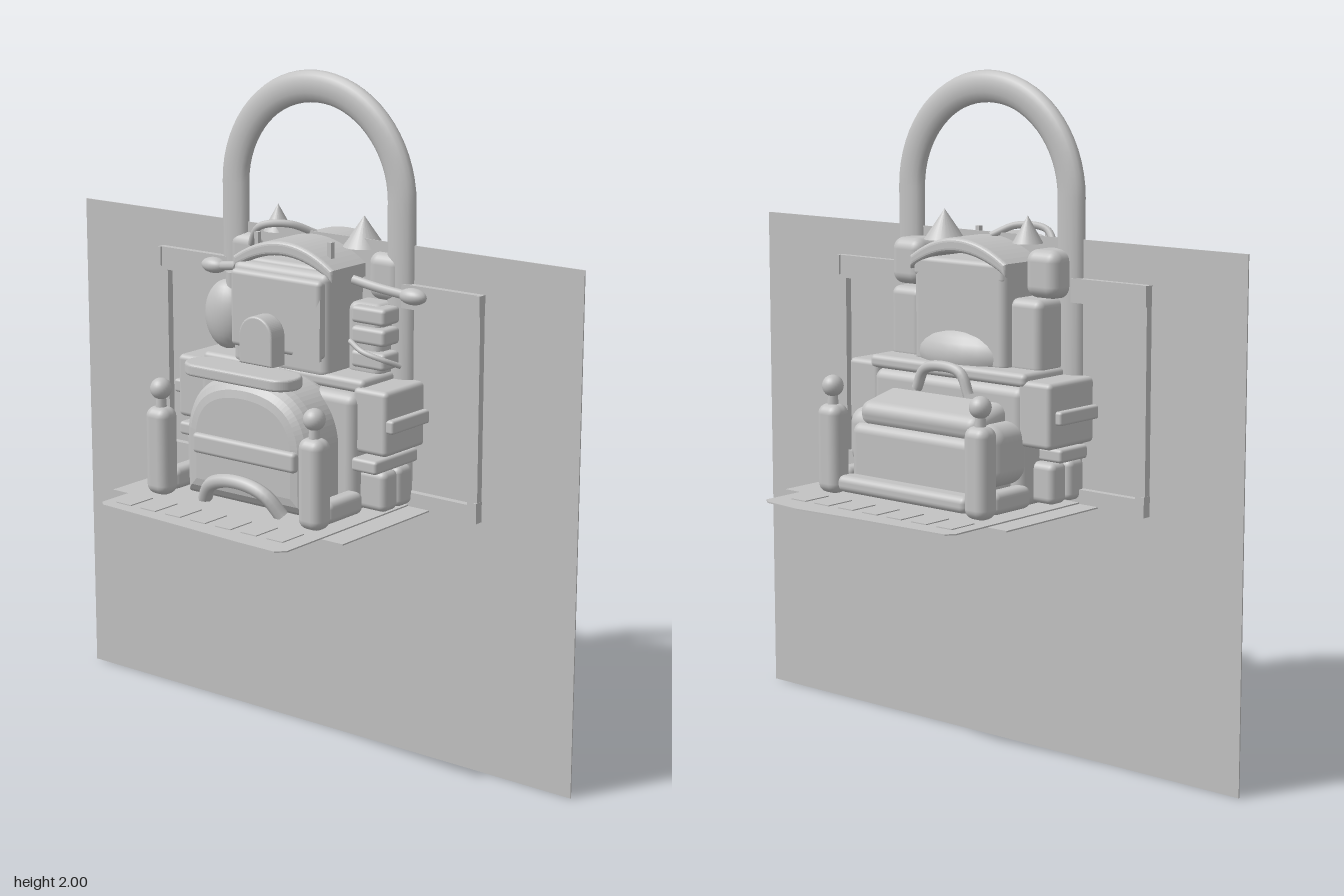
import * as THREE from 'three';
import { RoundedBoxGeometry } from 'three/addons/geometries/RoundedBoxGeometry.js';

export function createModel() {
  const root = new THREE.Group();
  root.name = 'equipmentPack';
  const grey = new THREE.MeshStandardMaterial({ color: 0xc2c2c2 });
  grey.name = 'plainGrey';

  const add = (name, geo, x = 0, y = 0, z = 0) => {
    const m = new THREE.Mesh(geo, grey);
    m.name = name;
    m.position.set(x, y, z);
    root.add(m);
    return m;
  };
  // boxes are given by their limits on each axis
  const box = (name, x0, x1, y0, y1, z0, z1, r = 0) => {
    const w = x1 - x0, h = y1 - y0, d = z1 - z0;
    const geo = r ? new RoundedBoxGeometry(w, h, d, 3, r) : new THREE.BoxGeometry(w, h, d);
    return add(name, geo, (x0 + x1) / 2, (y0 + y1) / 2, (z0 + z1) / 2);
  };
  const ball = (name, x, y, z, rx, ry = rx, rz = rx) => {
    const m = add(name, new THREE.SphereGeometry(1, 24, 16), x, y, z);
    m.scale.set(rx, ry, rz);
    return m;
  };
  const tube = (name, pts, r) => add(name, new THREE.TubeGeometry(
    new THREE.CatmullRomCurve3(pts.map(p => new THREE.Vector3(...p))), 24, r, 8));
  const extrude = (name, shape, z0, z1, bevel = 0) => add(name, new THREE.ExtrudeGeometry(shape, {
    depth: z1 - z0 - 2 * bevel, bevelEnabled: bevel > 0, bevelSize: bevel, bevelThickness: bevel,
    bevelOffset: -bevel, bevelSegments: 4, curveSegments: 20,
  }), 0, 0, z0 + bevel);

  // large upright sheet
  box('backPanel', -0.92, 0.92, 0, 1.53, -0.002, 0.002);

  // floor: square plate and a longer plate with uneven ends
  box('squarePlate', -0.43, 0.43, 0.764, 0.768, -0.43, 0.43);
  const floor = new THREE.Shape([
    [-0.36, -0.55], [-0.34, -0.57], [0, -0.59], [0.2, -0.603], [0.33, -0.607], [0.355, -0.58],
    [0.355, 0.58], [0.33, 0.6], [0.2, 0.615], [0, 0.6], [-0.34, 0.585], [-0.36, 0.56],
  ].map(p => new THREE.Vector2(...p)));
  const plate = extrude('longPlate', floor, 0, 0.004);
  plate.rotation.x = -Math.PI / 2;
  plate.position.y = 0.768;
  for (const s of [-1, 1]) for (let i = 0; i < 7; i++) {
    const x = (i - 3) * 0.094 - 0.01, z = s * 0.485;
    box('floorTile', x - 0.028, x + 0.028, 0.771, 0.775, z - 0.048, z + 0.048);
  }

  // large hoop, flattened front to back
  const hoop = new THREE.CurvePath();
  const v = (x, y) => new THREE.Vector3(x, y, 0);
  hoop.add(new THREE.LineCurve3(v(-0.307, 0.78), v(-0.307, 1.646)));
  const k = 0.307 * 0.5523;
  hoop.add(new THREE.CubicBezierCurve3(v(-0.307, 1.646), v(-0.307, 1.646 + k), v(-k, 1.953), v(0, 1.953)));
  hoop.add(new THREE.CubicBezierCurve3(v(0, 1.953), v(k, 1.953), v(0.307, 1.646 + k), v(0.307, 1.646)));
  hoop.add(new THREE.LineCurve3(v(0.307, 1.646), v(0.307, 0.78)));
  add('hoop', new THREE.TubeGeometry(hoop, 90, 0.047, 16)).scale.z = 0.55;

  // side frames
  for (const s of [-1, 1]) {
    const bar = (x0, x1, y0, y1) => box('sideFrame', Math.min(s * x0, s * x1), Math.max(s * x0, s * x1), y0, y1, -0.024, 0.024);
    bar(0.563, 0.597, 0.76, 1.42);
    bar(0.3, 0.563, 1.35, 1.42);
    bar(0.3, 0.563, 0.76, 0.81);
    for (const y of [0.79, 1.39]) box('frameHinge', s * 0.592 - 0.006, s * 0.592 + 0.006, y - 0.03, y + 0.03, -0.03, 0.03);
  }

  // core of the pack
  box('lowerCore', -0.29, 0.29, 0.77, 1.12, -0.2, 0.2, 0.03);
  box('shelf', -0.3, 0.3, 1.12, 1.16, -0.2, 0.17, 0.015);
  box('upperBody', -0.185, 0.17, 1.14, 1.45, -0.15, 0.17, 0.025);
  box('upperFrontPanel', -0.175, 0.16, 1.2, 1.43, 0.15, 0.19, 0.015);
  const flap = new THREE.Shape([[0.06, 1.2], [0.165, 1.2], [0.165, 1.38]].map(p => new THREE.Vector2(...p)));
  extrude('cornerFlap', flap, 0.188, 0.196);
  ball('rearBulge', 0, 1.18, -0.06, 0.2, 0.1, 0.13);

  // arched lid
  const lid = new THREE.Shape();
  lid.moveTo(-0.19, 1.42);
  lid.quadraticCurveTo(0, 1.54, 0.18, 1.42);
  lid.lineTo(0.18, 1.46);
  lid.quadraticCurveTo(0, 1.585, -0.19, 1.46);
  extrude('archedLid', lid, -0.155, 0.16, 0.012);
  box('lidBase', -0.18, 0.17, 1.4, 1.46, -0.15, 0.14, 0.015);

  // front domed pocket with a strap and carrying handle
  const dome = new THREE.Shape();
  dome.moveTo(-0.235, 0.77);
  dome.lineTo(0.235, 0.77);
  dome.lineTo(0.235, 0.98);
  dome.bezierCurveTo(0.22, 1.1, 0.13, 1.155, 0, 1.155);
  dome.bezierCurveTo(-0.13, 1.155, -0.22, 1.1, -0.235, 0.98);
  extrude('frontPocket', dome, 0.12, 0.345, 0.06);
  box('frontStrap', -0.18, 0.2, 0.91, 0.97, 0.32, 0.36, 0.012);
  tube('frontHandle', [[-0.14, 0.775, 0.35], [-0.1, 0.83, 0.37], [-0.04, 0.853, 0.375],
    [0.05, 0.853, 0.375], [0.11, 0.83, 0.37], [0.15, 0.775, 0.35]], 0.021);
  const roll = new THREE.Shape();
  roll.absarc(0.14, 0, 0.06, -Math.PI / 2, Math.PI / 2);
  roll.absarc(-0.14, 0, 0.06, Math.PI / 2, Math.PI * 1.5);
  const rollMesh = extrude('frontTray', roll, 0, 0.036, 0.008);
  rollMesh.rotation.x = -Math.PI / 2;
  rollMesh.position.set(0, 1.158, 0.34);
  const tomb = new THREE.Shape();
  tomb.moveTo(0.012, 1.21);
  tomb.lineTo(0.132, 1.21);
  tomb.lineTo(0.132, 1.29);
  tomb.absarc(0.072, 1.29, 0.06, 0, Math.PI);
  extrude('roundedMarker', tomb, 0.31, 0.372, 0.006);

  // rear chest with lid and handle
  box('rearChest', -0.25, 0.25, 0.77, 0.98, -0.34, -0.15, 0.03);
  box('rearChestSides', -0.29, 0.29, 0.84, 1.02, -0.32, -0.15, 0.05);
  const cover = box('rearChestLid', -0.23, 0.23, 0.98, 1.06, -0.33, -0.14, 0.035);
  cover.rotation.x = -0.22;
  tube('rearHandle', [[-0.1, 1.08, -0.21], [-0.07, 1.14, -0.21], [0, 1.155, -0.21], [0.07, 1.14, -0.21], [0.1, 1.08, -0.21]], 0.016);
  box('rearBar', -0.25, 0.25, 0.78, 0.83, -0.4, -0.33, 0.02);

  // corner posts with ball tops
  for (const sx of [-1, 1]) for (const sz of [-1, 1]) {
    const x = sx * 0.285, z = sz * 0.372;
    box('cornerPost', x - 0.042, x + 0.042, 0.77, 1.035, z - 0.037, z + 0.037, 0.03);
    add('postNeck', new THREE.CylinderGeometry(0.014, 0.018, 0.06, 12), x, 1.045, z);
    ball('postBall', x, 1.088, z, 0.032);
    box('bottomRail', x - 0.03, x + 0.03, 0.775, 0.84, Math.min(sz * 0.18, sz * 0.34), Math.max(sz * 0.18, sz * 0.34), 0.02);
  }

  // side cases, pouches and arms
  for (const s of [-1, 1]) {
    const side = (name, x0, x1, ...rest) => box(name, Math.min(s * x0, s * x1), Math.max(s * x0, s * x1), ...rest);
    side('sideCase', 0.27, 0.39, 0.95, 1.14, -0.195, 0.18, 0.015);
    side('sideCaseStrap', 0.36, 0.41, 1.02, 1.06, -0.17, 0.175, 0.008);
    side('sideLowerStrap', 0.28, 0.37, 0.9, 0.94, -0.12, 0.2, 0.01);
    for (const z of [-0.11, -0.03, 0.06, 0.13])
      side('sidePouch', 0.26, z > 0 ? 0.375 : 0.36, 0.78, 0.9, z - 0.035, z + 0.035, 0.02);
    side('shoulderBox', 0.2, 0.32, 1.36, 1.5, -0.09, 0.03, 0.035);
    side('shoulderPouch', 0.17, 0.29, 1.14, 1.36, -0.12, 0.08, 0.025);
    ball('armKnob', s * 0.37, 1.39, 0.03, 0.045, 0.024, 0.028);
    tube('armRod', [[s * 0.18, 1.42, 0.06], [s * 0.26, 1.405, 0.05], [s * 0.35, 1.39, 0.03]], 0.014);
    box('lidClip', s * 0.135 - 0.007, s * 0.135 + 0.007, 1.45, 1.53, 0.1, 0.115);
  }

  // flask, small boxes and loose fittings
  ball('flask', -0.265, 1.265, 0.09, 0.078, 0.105, 0.055);
  add('flaskCap', new THREE.CylinderGeometry(0.025, 0.025, 0.05, 16), -0.24, 1.37, 0.09);
  for (const y of [1.2, 1.27, 1.33]) box('rightSmallBox', 0.2, 0.32, y - 0.025, y + 0.025, 0.02, 0.1, 0.012);
  tube('sideHose', [[0.2, 1.25, 0.1], [0.26, 1.23, 0.12], [0.32, 1.21, 0.1], [0.35, 1.19, 0.06]], 0.008);
  tube('topHose', [[-0.2, 1.48, 0.06], [-0.15, 1.54, 0.08], [-0.07, 1.55, 0.04], [-0.02, 1.52, -0.02]], 0.011);
  add('topCone', new THREE.ConeGeometry(0.062, 0.09, 24), 0.15, 1.545, -0.03);
  add('topCone', new THREE.ConeGeometry(0.045, 0.08, 24), -0.17, 1.55, -0.03);

  // flat paddle hanging below the floor
  const paddle = ball('paddle', 0, 0.72, -0.072, 0.007, 0.075, 0.038);
  paddle.rotation.x = 0.65;
  box('pin', -0.004, 0.004, 0.695, 0.77, -0.005, 0.005);

  return root;
}
